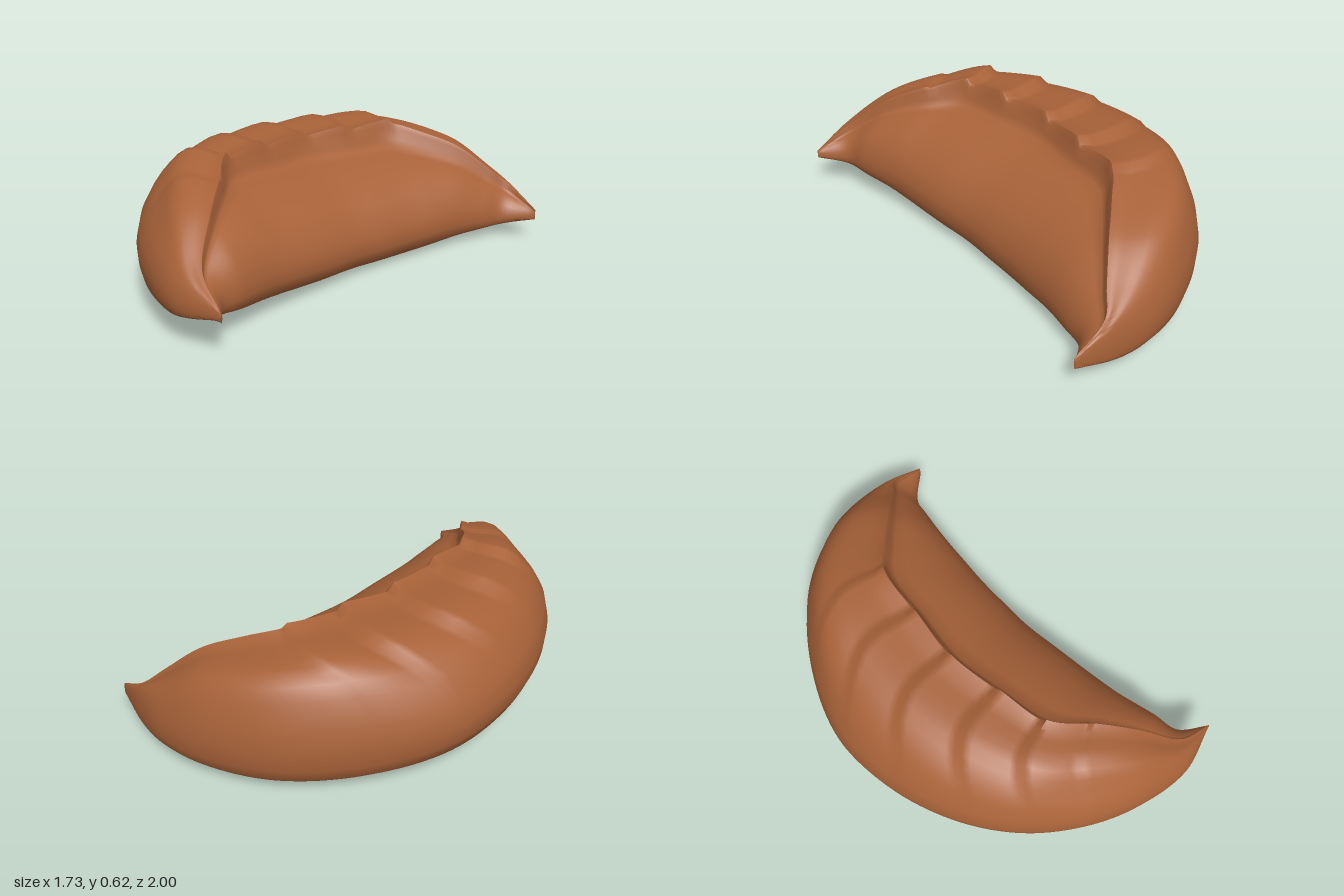
import * as THREE from 'three';
import { toCreasedNormals } from 'three/addons/utils/BufferGeometryUtils.js';

const curve = (pts) => new THREE.CatmullRomCurve3(pts.map((p) => new THREE.Vector3(...p)));
const bump = (x, centre, width) => Math.exp(-(((x - centre) / width) ** 2));

// Guide lines running from the front tip to the back tip of the crescent.
const ridge = curve([
  [-0.15, 0.21, 0.995], [-0.28, 0.32, 0.87], [-0.33, 0.48, 0.66], [-0.37, 0.56, 0.47],
  [-0.42, 0.6, 0.27], [-0.34, 0.6, 0.05], [-0.23, 0.59, -0.2], [-0.07, 0.58, -0.4],
  [0.1, 0.57, -0.6], [0.27, 0.52, -0.65], [0.45, 0.45, -0.69], [0.61, 0.33, -0.73],
  [0.71, 0.25, -0.755], [0.86, 0.15, -0.68],
]);
const outer = curve([
  [-0.16, 0.18, 0.995], [-0.39, 0.13, 0.93], [-0.6, 0.1, 0.75], [-0.74, 0.095, 0.55],
  [-0.84, 0.095, 0.29], [-0.865, 0.095, 0], [-0.8, 0.085, -0.33], [-0.64, 0.07, -0.63],
  [-0.36, 0.05, -0.85], [0, 0.04, -0.99], [0.34, 0.04, -0.99], [0.56, 0.05, -0.92],
  [0.71, 0.06, -0.82], [0.86, 0.1, -0.69],
]);
const inner = curve([
  [-0.15, 0.17, 0.99], [-0.2, 0.125, 0.85], [-0.16, 0.09, 0.74], [-0.1, 0.06, 0.57],
  [-0.04, 0.035, 0.44], [0.06, 0.015, 0.24], [0.15, 0.005, 0.06], [0.24, 0, -0.08],
  [0.32, 0, -0.2], [0.41, 0.015, -0.32], [0.51, 0.035, -0.45], [0.61, 0.05, -0.56],
  [0.7, 0.06, -0.65], [0.86, 0.1, -0.68],
]);

// Cross-section: [reach from ridge, height from base to ridge].
const backProfile = [[0, 1], [0.1, 0.975], [0.2, 0.98], [0.3, 0.99], [0.4, 0.99], [0.5, 0.98],
  [0.6, 0.94], [0.68, 0.89], [0.76, 0.83], [0.84, 0.74], [0.95, 0.56], [1, 0.38], [0.99, 0.22],
  [0.95, 0.1], [0.87, 0.03], [0.7, 0], [0.35, -0.01]];
const frontProfile = [[0.35, 0], [0.66, 0], [0.84, 0.025], [0.95, 0.08], [1, 0.18], [0.985, 0.29],
  [0.92, 0.41], [0.8, 0.53], [0.62, 0.64], [0.42, 0.72], [0.24, 0.77], [0.1, 0.8], [0.05, 0.86],
  [0.03, 0.96]];

const SPANS = 13;
const STEPS = 8;

// Folded pleats step up along the ridge toward the back tip.
function pleat(s, reach) {
  if (s <= 3 || s > 8) return 0;
  const fade = 1 - THREE.MathUtils.smoothstep(reach, 0.5, 0.95);
  return (0.036 * (s - Math.ceil(s) + 1) - 0.016) * fade;
}

// The pleat folds bow toward the back tip between ridge and shoulder.
function bow(s, reach) {
  return 0.28 * Math.sin(Math.PI * Math.min(reach / 0.85, 1)) * Math.sin((Math.PI * s) / SPANS);
}

// The shoulder sags near the front tip and swells near the back tip.
function shoulder(s, reach) {
  return (0.05 * bump(s, 8.8, 1.3) - 0.05 * bump(s, 2.9, 1.3)) * bump(reach, 0.76, 0.22);
}

function doughGeometry() {
  const pos = [];
  const index = [];
  const ring = backProfile.length + frontProfile.length;
  const rows = SPANS * STEPS;
  for (let i = 0; i <= rows; i++) {
    const s = i / STEPS;
    const addSide = (guide, profile, pleated) => {
      for (const [u, v] of profile) {
        const folded = pleated && v > 0.3;
        const along = folded ? s + bow(s, u) : s;
        const top = ridge.getPoint(along / SPANS);
        const edge = guide.getPoint(along / SPANS);
        const lift = folded ? pleat(s, u) + shoulder(along, u) : 0;
        pos.push(
          THREE.MathUtils.lerp(top.x, edge.x, u),
          THREE.MathUtils.lerp(edge.y, top.y, v) + lift,
          THREE.MathUtils.lerp(top.z, edge.z, u),
        );
      }
    };
    addSide(outer, backProfile, true);
    addSide(inner, frontProfile, false);
  }
  for (let i = 0; i < rows; i++) {
    for (let j = 0; j < ring; j++) {
      const a = i * ring + j;
      const b = i * ring + ((j + 1) % ring);
      index.push(a, a + ring, b, b, a + ring, b + ring);
    }
  }
  // Close both tips.
  const last = rows * ring;
  for (let j = 1; j < ring - 1; j++) {
    index.push(0, j, j + 1, last, last + j + 1, last + j);
  }
  const geometry = new THREE.BufferGeometry();
  geometry.setAttribute('position', new THREE.Float32BufferAttribute(pos, 3));
  geometry.setIndex(index);
  return toCreasedNormals(geometry, 1.1);
}

export function createModel() {
  const model = new THREE.Group();
  model.name = 'dumpling';
  const friedDough = new THREE.MeshStandardMaterial({ color: 0xa86239 });
  friedDough.name = 'fried dough';
  const dough = new THREE.Mesh(doughGeometry(), friedDough);
  dough.name = 'pleatedDough';
  model.add(dough);
  return model;
}
